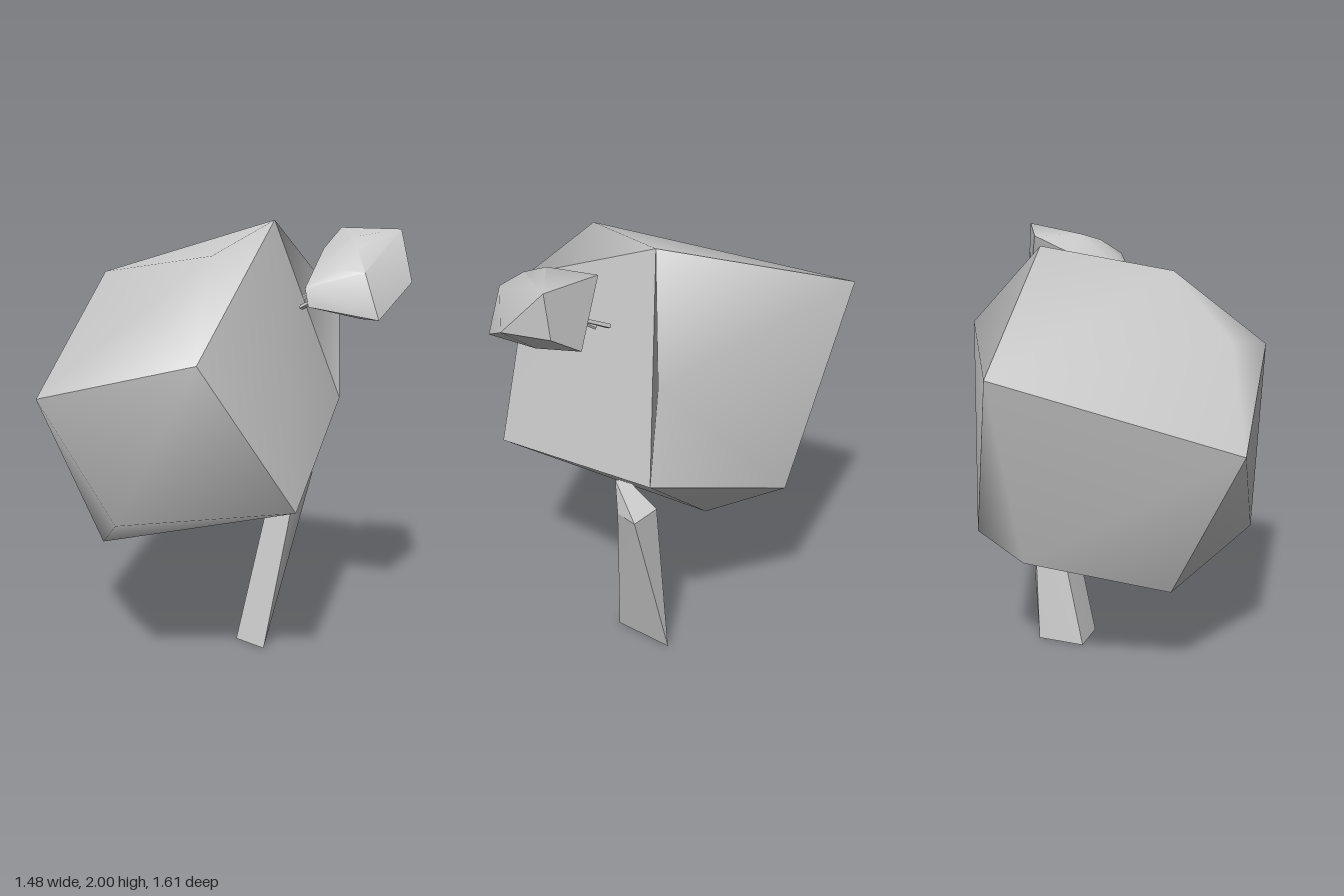
import * as THREE from 'three';
import { toCreasedNormals } from 'three/addons/utils/BufferGeometryUtils.js';
import { ConvexGeometry } from 'three/addons/geometries/ConvexGeometry.js';

const material = new THREE.MeshStandardMaterial({ color: 0xcccccc });
const vec = (p) => new THREE.Vector3(...p);

// Faceted solid spanned by a few corners, softened across shallow edges
function facetedSolid(name, corners, crease) {
  const geometry = toCreasedNormals(new ConvexGeometry(corners.map(vec)), crease);
  const mesh = new THREE.Mesh(geometry, material);
  mesh.name = name;
  return mesh;
}

// Thin four-sided stick between two points
function twig(name, from, to, radius) {
  const a = vec(from), b = vec(to);
  const axis = b.clone().sub(a);
  const geometry = toCreasedNormals(new THREE.CylinderGeometry(radius * 0.8, radius, axis.length(), 4), 0.3);
  const mesh = new THREE.Mesh(geometry, material);
  mesh.position.copy(a).add(b).multiplyScalar(0.5);
  mesh.quaternion.setFromUnitVectors(new THREE.Vector3(0, 1, 0), axis.normalize());
  mesh.name = name;
  return mesh;
}

// Triangles from a middle point to each edge of a ring
const fan = (middle, ring) => ring.flatMap((c, i) => [middle, c, ring[(i + 1) % ring.length]]);

// Large tilted cube whose sides bulge; each side is smooth and its rim is sharp
function crown() {
  const points = [
    // Cube corners
    [0.35, 2.0, 0.14], [0.21, 1.69, -0.8], [-0.74, 1.3, -0.3], [-0.62, 1.54, 0.5],
    [-0.24, 0.88, 0.72], [0.72, 1.12, 0.27], [-0.41, 0.575, -0.24], [0.44, 0.83, -0.43],
    // Bulges: top, top shoulder, right side, left side, bottom, back
    [-0.24, 1.91, 0.26], [-0.56, 1.66, 0.1], [-0.68, 0.8, 0.1],
    [0.74, 1.58, 0.24], [0.19, 0.6, -0.14], [0.18, 0.76, -0.53],
  ];
  const sides = {
    crownTop: [8, 0, 1, 8, 1, 9, 9, 1, 2, 9, 2, 3, 8, 9, 3, 8, 3, 0],
    crownFront: [3, 4, 0, 4, 5, 0],
    crownRight: fan(10, [2, 6, 4, 3]),
    crownLeft: fan(11, [0, 5, 7, 1]),
    crownBottom: fan(12, [4, 6, 7, 5]),
    crownBack: fan(13, [1, 7, 6, 2]),
  };
  const group = new THREE.Group();
  group.name = 'crown';
  for (const [name, index] of Object.entries(sides)) {
    const geometry = new THREE.BufferGeometry();
    geometry.setAttribute('position', new THREE.Float32BufferAttribute(points.flat(), 3));
    geometry.setIndex(index);
    geometry.computeVertexNormals();
    const mesh = new THREE.Mesh(geometry, material);
    mesh.name = name;
    group.add(mesh);
  }
  return group;
}

export function createModel() {
  const tree = new THREE.Group();
  tree.name = 'tree';

  tree.add(crown());

  // Small leaf clump hanging off the front
  tree.add(facetedSolid('leafClump', [
    [0.61, 1.975, 0.65], [0.49, 1.975, 0.41], [0.32, 1.96, 0.58], [0.25, 1.92, 0.66],
    [0.14, 1.845, 0.645], [0.175, 1.84, 0.75], [0.32, 1.9, 0.435],
    [0.47, 1.77, 0.8], [0.2, 1.64, 0.81], [0.32, 1.61, 0.64], [0.56, 1.69, 0.5],
    [0.615, 1.78, 0.63], [0.04, 1.77, 0.54], [0.045, 1.69, 0.555],
  ], 0.75));

  // Two twigs joining the clump to the crown
  tree.add(twig('lowerTwig', [0.25, 1.64, 0.37], [0.21, 1.71, 0.52], 0.012));
  tree.add(twig('upperTwig', [0.32, 1.67, 0.33], [0.38, 1.75, 0.48], 0.012));

  // Leaning trunk, three-sided at the foot and four-sided at the top
  tree.add(facetedSolid('trunk', [
    [0.14, 0, 0.27], [0.375, 0, 0.095], [0.145, 0, 0.1],
    [0.31, 0.745, 0.31], [0.495, 0.8, 0.28], [0.42, 0.81, 0.16], [0.33, 0.78, 0.17],
  ], 0.5));

  // Pointed fork at the trunk top
  tree.add(facetedSolid('trunkFork', [
    [0.31, 0.745, 0.31], [0.495, 0.8, 0.28], [0.42, 0.81, 0.16],
    [0.15, 0.82, 0.28], [0.19, 0.835, 0.23],
  ], 0.4));

  return tree;
}
